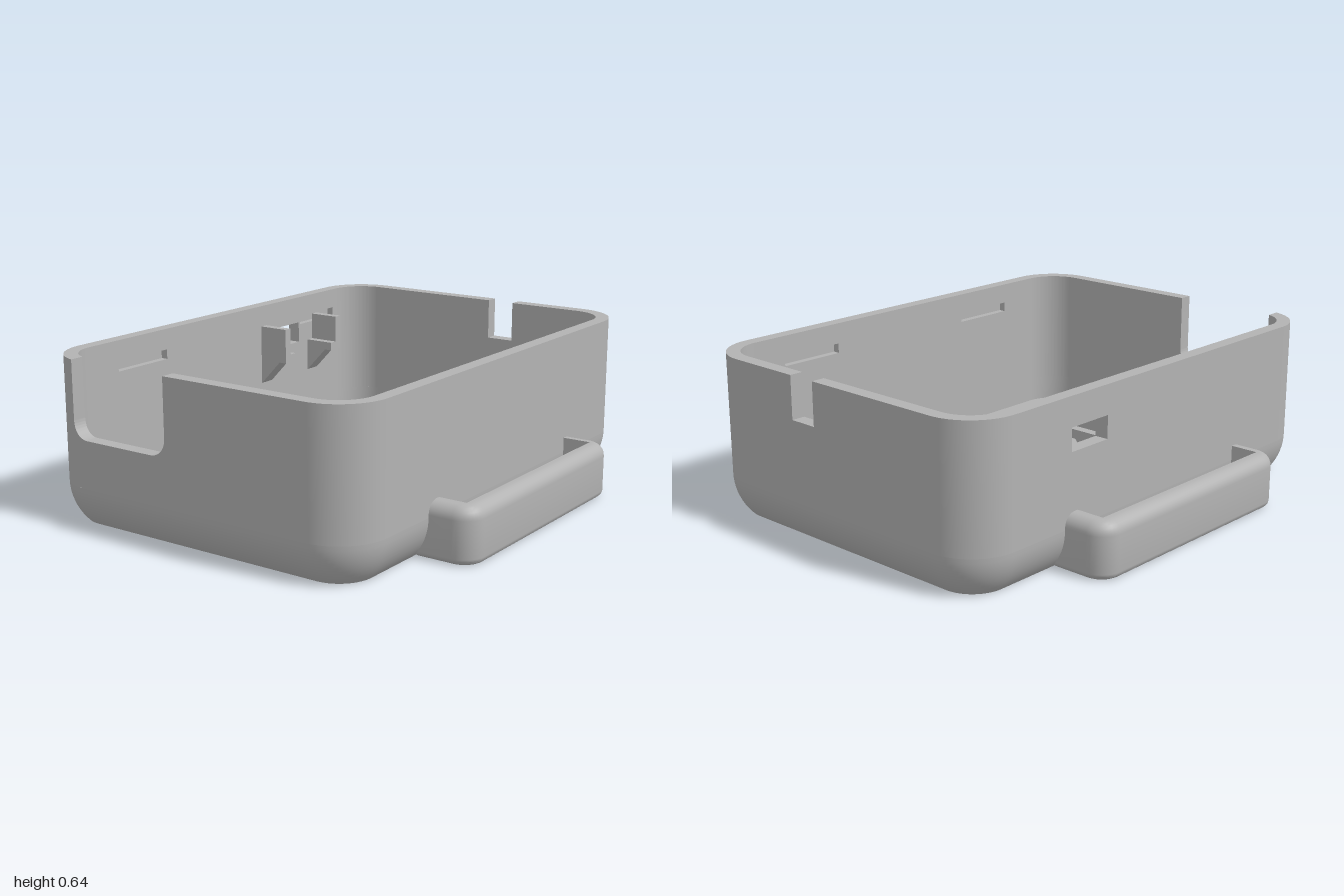
import * as THREE from 'three';
import { toCreasedNormals } from 'three/addons/utils/BufferGeometryUtils.js';

const W = 0.715, D = 1, H = 0.645, R = 0.2, T = 0.055; // half width, half depth, height, corner radius, wall
const CX = W - R, CZ = D - R, BASE = 0.157, FLOOR = 0.05;

// Skin a grid of points: rows run outward and up, points run from +x toward +z
function loft(rows, closed) {
  const n = rows[0].length, index = [];
  for (let j = 0; j < rows.length - 1; j++) {
    for (let i = 0; i < (closed ? n : n - 1); i++) {
      const a = j * n + i, b = j * n + (i + 1) % n;
      index.push(a, a + n, b, b, a + n, b + n);
    }
  }
  const g = new THREE.BufferGeometry();
  g.setAttribute('position', new THREE.Float32BufferAttribute(rows.flat(2), 3));
  g.setIndex(index);
  return toCreasedNormals(g, 0.5);
}

function polygon(points) {
  return new THREE.Shape(points.map(([x, y]) => new THREE.Vector2(x, y)));
}

function extrude(shape, depth) {
  const g = new THREE.ExtrudeGeometry(shape, { depth, bevelEnabled: false, curveSegments: 16 });
  return toCreasedNormals(g, 0.5);
}

// Rounded rectangle ring, inset from the outer wall
function ring(inset, y) {
  const pts = [], r = R - inset;
  [[1, 1], [-1, 1], [-1, -1], [1, -1]].forEach(([sx, sz], q) => {
    for (let i = 0; i <= 16; i++) {
      const a = (q + i / 16) * Math.PI / 2;
      pts.push([sx * CX + r * Math.cos(a), y, sz * CZ + r * Math.sin(a)]);
    }
  });
  return pts;
}

// Tray bottom: underside, rounded lower edge, inner wall and floor
function baseGeometry() {
  const centre = y => ring(0, y).map(() => [0, y, 0]);
  const rows = [centre(0)];
  for (let i = 0; i <= 10; i++) {
    const a = (1 - i / 10) * Math.PI / 4, r = BASE / Math.sin(Math.PI / 4);
    rows.push(ring(r * (1 - Math.cos(a)), BASE - r * Math.sin(a)));
  }
  rows.push(ring(T, BASE), ring(T, FLOOR), centre(FLOOR));
  return loft(rows, true);
}

// Upright curved corner, drawn in plan with shape y = -z
function cornerGeometry(sx, sy, start, endOuter, endInner) {
  const s = new THREE.Shape();
  s.absarc(sx * CX, sy * CZ, R, start, endOuter, false);
  s.absarc(sx * CX, sy * CZ, R - T, endInner, start, true);
  return extrude(s, H - BASE).rotateX(-Math.PI / 2).translate(0, BASE, 0);
}

// One layer of a long side wall; holes are [z0, z1, y0, y1]
function sideLayer(x, depth, holes) {
  const s = polygon([[-CZ, BASE], [CZ, BASE], [CZ, H], [-CZ, H]]);
  for (const [z0, z1, y0, y1] of holes) {
    s.holes.push(polygon([[-z0, y0], [-z1, y0], [-z1, y1], [-z0, y1]]));
  }
  return extrude(s, depth).rotateY(Math.PI / 2).translate(x, 0, 0);
}

// U-shaped carrying handle with rounded outer edges
function handleGeometry() {
  const path = (xo, zo, r, y) => {
    const pts = [[0.662, y, -zo]];
    for (const s of [-1, 1]) {
      for (let i = 0; i <= 8; i++) {
        const a = (i / 8 + (s < 0 ? -1 : 0)) * Math.PI / 2;
        pts.push([xo - r + r * Math.cos(a), y, s * (zo - r) + r * Math.sin(a)]);
      }
    }
    pts.push([0.662, y, zo]);
    return pts;
  };
  const outer = (inset, y) => path(0.895 - inset, 0.542 - inset, 0.085 - inset, y);
  const top = 0.217, rt = 0.05, rb = 0.025;
  const rows = [path(0.83, 0.475, 0, 0)];
  for (let i = 0; i <= 5; i++) {
    const a = i / 5 * Math.PI / 2;
    rows.push(outer(rb * (1 - Math.sin(a)), rb * (1 - Math.cos(a))));
  }
  for (let i = 0; i <= 8; i++) {
    const a = i / 8 * Math.PI / 2;
    rows.push(outer(rt * (1 - Math.cos(a)), top - rt + rt * Math.sin(a)));
  }
  rows.push(path(0.83, 0.475, 0, top), path(0.83, 0.475, 0, 0));
  return loft(rows, false);
}

export function createModel() {
  const model = new THREE.Group();
  const grey = new THREE.MeshStandardMaterial({ color: 0xb3b3b3 });
  grey.name = 'grey plastic';
  const add = (name, geometry) => {
    const mesh = new THREE.Mesh(geometry, grey);
    mesh.name = name;
    model.add(mesh);
    return mesh;
  };

  add('trayBase', baseGeometry());

  // Corners; the front one beside the large cut-out is trimmed short
  const P = Math.PI / 2, cutX = -0.56, cut = cutX + CX;
  add('backRightCorner', cornerGeometry(1, 1, 0, P, P));
  add('backLeftCorner', cornerGeometry(-1, 1, P, 2 * P, 2 * P));
  add('frontRightCorner', cornerGeometry(1, -1, 3 * P, 4 * P, 4 * P));
  add('frontLeftCorner', cornerGeometry(-1, -1, 2 * P,
    4 * P - Math.acos(cut / R), 4 * P - Math.acos(cut / (R - T))));

  // Front wall with the round-cornered cut-out
  const sill = 0.345, nr = 0.07, ncx = cutX + nr, notchEnd = -0.105;
  const meet = 2 * Math.PI - Math.acos((-CX - ncx) / nr);
  const front = new THREE.Shape();
  front.moveTo(-CX, BASE);
  front.lineTo(CX, BASE);
  front.lineTo(CX, H);
  front.lineTo(notchEnd, H);
  front.absarc(notchEnd - nr, sill + nr, nr, 0, -P, true);
  front.absarc(ncx, sill + nr, nr, 3 * P, meet, true);
  add('frontWall', extrude(front, T).translate(0, 0, D - T));

  // Narrow strip under the cut-out, bent to follow the corner
  const strip = new THREE.Shape();
  strip.moveTo(cutX, BASE);
  strip.lineTo(-CX, BASE);
  strip.absarc(ncx, sill + nr, nr, meet, Math.PI, true);
  const stripGeo = extrude(strip, T).translate(0, 0, D - T);
  const p = stripGeo.attributes.position;
  for (let i = 0; i < p.count; i++) {
    const dx = Math.min(0, p.getX(i) + CX), r = p.getZ(i) - CZ;
    p.setZ(i, CZ + Math.sqrt(r * r - dx * dx));
  }
  add('frontWallStrip', stripGeo);

  // Back wall with a narrow cable notch
  add('backWall', extrude(polygon([[-CX, BASE], [CX, BASE], [CX, H], [0.2, H],
    [0.2, 0.475], [0.08, 0.475], [0.08, H], [-CX, H]]), T).translate(0, 0, -D));

  // Side walls: slots recessed in the inner layer, port hole through both
  const port = [-0.51, -0.315, 0.44, 0.53], inner = 0.03;
  add('rightWallInner', sideLayer(W - T, inner, [[0.34, 0.62, 0.52, 0.56], [-0.66, -0.38, 0.52, 0.56]]));
  add('rightWallOuter', sideLayer(W - T + inner, T - inner, []));
  add('leftWallInner', sideLayer(-W + T - inner, inner,
    [[0.37, 0.65, 0.52, 0.56], [-0.77, -0.52, 0.52, 0.56], port]));
  add('leftWallOuter', sideLayer(-W, T - inner, [port]));

  // Board brackets: gusseted ledge with an upright on the far side from the port
  const wallX = -W + T, tipX = -0.525;
  const ledge = polygon([[wallX, 0.3], [-0.56, 0.405], [tipX, 0.405], [tipX, 0.44], [wallX, 0.44]]);
  for (const [name, z, side] of [['frontBracket', -0.275, 1], ['backBracket', -0.61, -1]]) {
    add(name + 'Ledge', extrude(ledge, 0.07).translate(0, 0, z - 0.035));
    add(name + 'Upright', new THREE.BoxGeometry(tipX - wallX, 0.115, 0.035))
      .position.set((tipX + wallX) / 2, 0.4975, z + side * 0.0175);
  }

  // Handles on both sides
  const handle = handleGeometry();
  add('rightHandle', handle);
  add('leftHandle', handle).rotation.y = Math.PI;

  return model;
}
